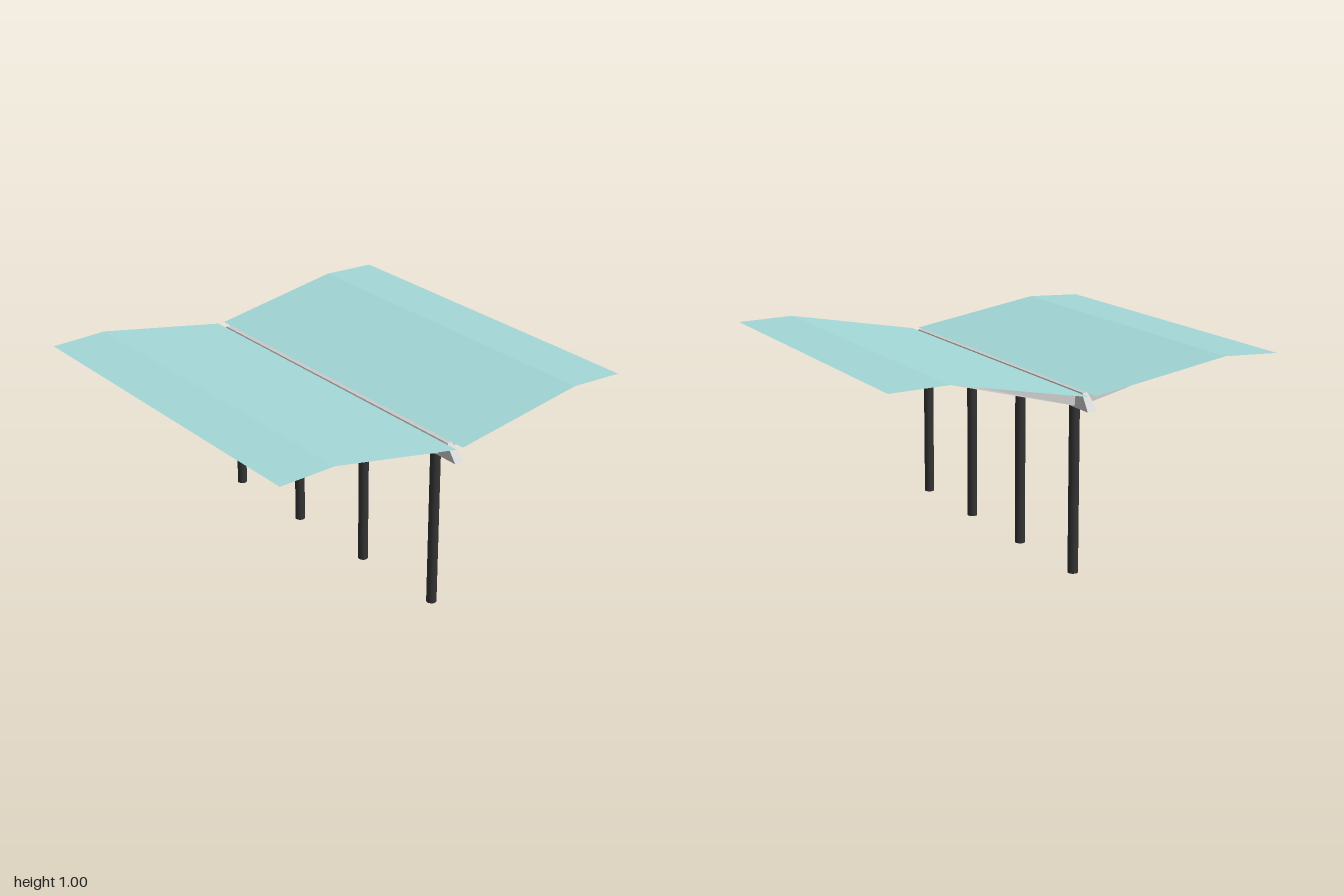
import * as THREE from 'three';

const steel = new THREE.MeshStandardMaterial({ color: 0xcccccc, flatShading: true });
const dark = new THREE.MeshStandardMaterial({ color: 0x333333 });
const glass = new THREE.MeshStandardMaterial({ color: 0xa4d8d8, side: THREE.DoubleSide, flatShading: true });

// Solid through matching loops of [x, y, z], counter-clockwise seen from +z, running towards +z
function loft(loops) {
  const n = loops[0].length, pos = [];
  const tri = (a, b, c) => pos.push(...a, ...b, ...c);
  for (let s = 0; s < loops.length - 1; s++) {
    const a = loops[s], b = loops[s + 1];
    for (let i = 0; i < n; i++) {
      const j = (i + 1) % n;
      tri(a[i], a[j], b[j]);
      tri(a[i], b[j], b[i]);
    }
  }
  const first = loops[0], last = loops[loops.length - 1];
  for (let i = 1; i < n - 1; i++) {
    tri(first[0], first[i + 1], first[i]);
    tri(last[0], last[i], last[i + 1]);
  }
  const g = new THREE.BufferGeometry();
  g.setAttribute('position', new THREE.Float32BufferAttribute(pos, 3));
  g.computeVertexNormals();
  return g;
}

// Tapering cantilever rib, from the beam out to a thin tip
function ribGeometry() {
  // z, bottom y, top y, half width at bottom, half width at top
  const stations = [
    [0.0, 0.806, 0.869, 0.045, 0.04],
    [0.7, 0.98, 0.993, 0.028, 0.025],
    [0.93, 0.984, 0.988, 0.008, 0.007],
  ];
  return loft(stations.map(([z, y0, y1, w0, w1]) =>
    [[-w0, y0, z], [w0, y0, z], [w1, y1, z], [-w1, y1, z]]));
}

// Spine beam with narrowed top and raked ends
function beamGeometry() {
  const profile = [[-0.025, 0.805], [0.025, 0.805], [0.018, 0.865], [0.012, 0.88], [-0.012, 0.88], [-0.018, 0.865]];
  const end = (s) => profile.map(([x, y]) => [x, y, s * (0.97 - (y - 0.805) * 0.95)]);
  return loft([end(-1), end(1)]).rotateY(Math.PI / 2);
}

// Folded roof sheet: sloped part and nearly level outer part
function roofGeometry() {
  const path = [[0.018, 0.876], [0.71, 0.998], [1.0, 0.988]];
  const pos = [];
  for (let i = 0; i < 2; i++) {
    const [z0, y0] = path[i], [z1, y1] = path[i + 1], w = 0.97;
    pos.push(-w, y0, z0, -w, y1, z1, w, y1, z1, -w, y0, z0, w, y1, z1, w, y0, z0);
  }
  const g = new THREE.BufferGeometry();
  g.setAttribute('position', new THREE.Float32BufferAttribute(pos, 3));
  g.computeVertexNormals();
  return g;
}

export function createModel() {
  const model = new THREE.Group();
  model.name = 'canopy';
  const add = (name, geometry, material, x = 0, y = 0, turn = 0) => {
    const mesh = new THREE.Mesh(geometry, material);
    mesh.name = name;
    mesh.position.set(x, y, 0);
    mesh.rotation.y = turn;
    model.add(mesh);
  };

  // Columns
  const column = new THREE.CylinderGeometry(0.025, 0.025, 0.81, 16);
  for (let i = 0; i < 4; i++) add('column', column, dark, -0.803 + i * 0.5353, 0.405);

  // Spine beam
  add('spineBeam', beamGeometry(), steel);

  // Roof wings with their ribs, front and back
  const rib = ribGeometry(), roof = roofGeometry();
  for (const [side, turn] of [['front', 0], ['back', Math.PI]]) {
    add(side + 'Roof', roof, glass, 0, 0, turn);
    for (let i = 0; i < 10; i++) add(side + 'Rib', rib, steel, -0.803 + i * 0.1784, 0, turn);
  }
  return model;
}
